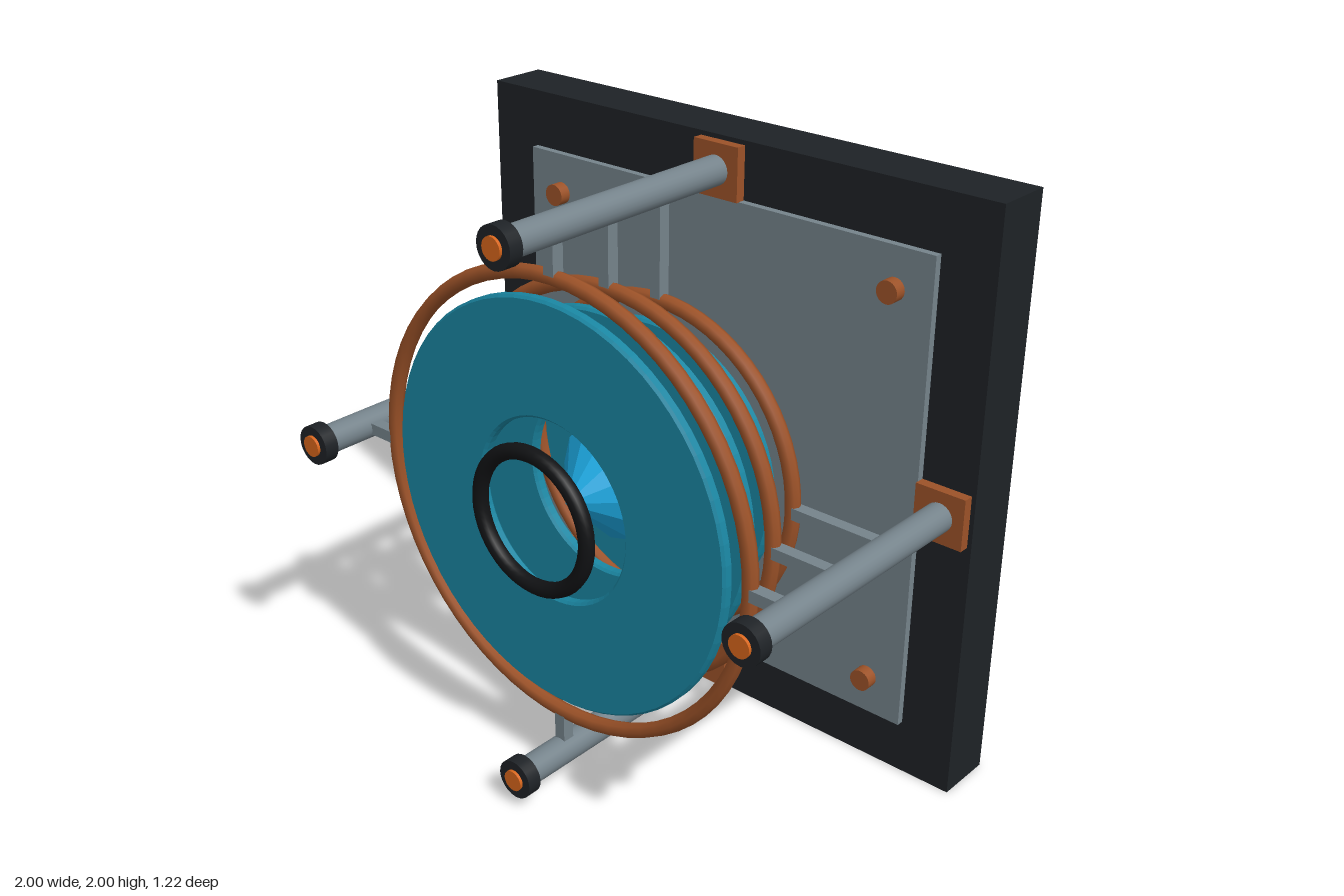
import * as THREE from 'three';

const mat = (color, extra = {}) => new THREE.MeshStandardMaterial({ color, ...extra });

export function createModel() {
  const model = new THREE.Group();
  model.name = 'wallEmitter';

  const dark = mat(0x1e2226);
  const black = mat(0x111214);
  const steel = mat(0x75838b);
  const copper = mat(0x9c5228);
  const tipOrange = mat(0xd8661c);
  const teal = mat(0x1a86a2);
  const crystalBlue = mat(0x1ca6de, { flatShading: true });

  const add = (parent, name, geometry, material, x = 0, y = 0, z = 0) => {
    const mesh = new THREE.Mesh(geometry, material);
    mesh.name = name;
    mesh.position.set(x, y, z);
    parent.add(mesh);
    return mesh;
  };
  // Box or cylinder spanning z0..z1
  const slab = (parent, name, w, h, z0, z1, material, x, y) =>
    add(parent, name, new THREE.BoxGeometry(w, h, z1 - z0), material, x, y, (z0 + z1) / 2);
  const rod = (parent, name, r, z0, z1, material, x, y) =>
    add(parent, name, new THREE.CylinderGeometry(r, r, z1 - z0, 24).rotateX(Math.PI / 2),
      material, x, y, (z0 + z1) / 2);

  // Wall panel
  slab(model, 'basePanel', 2, 2, -0.585, -0.385, dark, 0, 1);
  slab(model, 'backPanel', 1.81, 1.81, -0.61, -0.58, black, 0, 1);
  slab(model, 'frontPlate', 1.62, 1.62, -0.39, -0.36, steel, 0, 1);
  for (const sx of [-1, 1]) {
    for (const sy of [-1, 1]) {
      rod(model, 'plateBolt', 0.037, -0.365, -0.32, copper, sx * 0.676, 1 + sy * 0.676);
    }
  }

  // Three stages, larger toward the front: coil, beveled annular disc
  const stages = [
    { z: 0.37, r: 0.747 },
    { z: 0.14, r: 0.647 },
    { z: -0.09, r: 0.545 },
  ];
  for (const { z, r } of stages) {
    const stage = new THREE.Group();
    stage.name = 'coilStage';
    stage.position.set(0, 1, z);
    model.add(stage);
    add(stage, 'coilRing', new THREE.TorusGeometry(r, 0.025, 8, 64), copper);

    const bevel = 0.008;
    const outline = new THREE.Shape().absarc(0, 0, r - 0.064 - bevel, 0, Math.PI * 2);
    outline.holes.push(new THREE.Path().absarc(0, 0, 0.302 + bevel, 0, Math.PI * 2, true));
    add(stage, 'energyDisc', new THREE.ExtrudeGeometry(outline, {
      depth: 0.024, curveSegments: 32, bevelEnabled: true,
      bevelThickness: bevel, bevelSize: bevel, bevelSegments: 1,
    }), teal, 0, 0, 0.005);
  }

  // Four support arms around the center, each with struts to the coils
  for (let i = 0; i < 4; i++) {
    const arm = new THREE.Group();
    arm.name = 'supportArm';
    arm.position.y = 1;
    arm.rotation.z = i * Math.PI / 2;
    model.add(arm);
    const d = 0.897;
    slab(arm, 'armBracket', 0.176, 0.176, -0.386, -0.35, copper, d, 0);
    rod(arm, 'armRod', 0.049, -0.36, 0.56, steel, d, 0);
    rod(arm, 'armCap', 0.067, 0.55, 0.6, dark, d, 0);
    rod(arm, 'armTip', 0.036, 0.59, 0.61, tipOrange, d, 0);
    for (const { z, r } of stages) {
      slab(arm, 'strut', d - r, 0.04, z - 0.021, z + 0.021, steel, (d + r) / 2, 0);
    }
  }

  // Focus rings before and behind the coils
  for (const z of [0.485, -0.2]) {
    add(model, 'focusRing', new THREE.TorusGeometry(0.225, 0.026, 12, 48), black, 0, 1, z);
  }

  // Faceted double cone at the center
  add(model, 'crystal', new THREE.SphereGeometry(0.2, 12, 2).rotateX(Math.PI / 2),
    crystalBlue, 0, 1, 0.14);

  return model;
}
